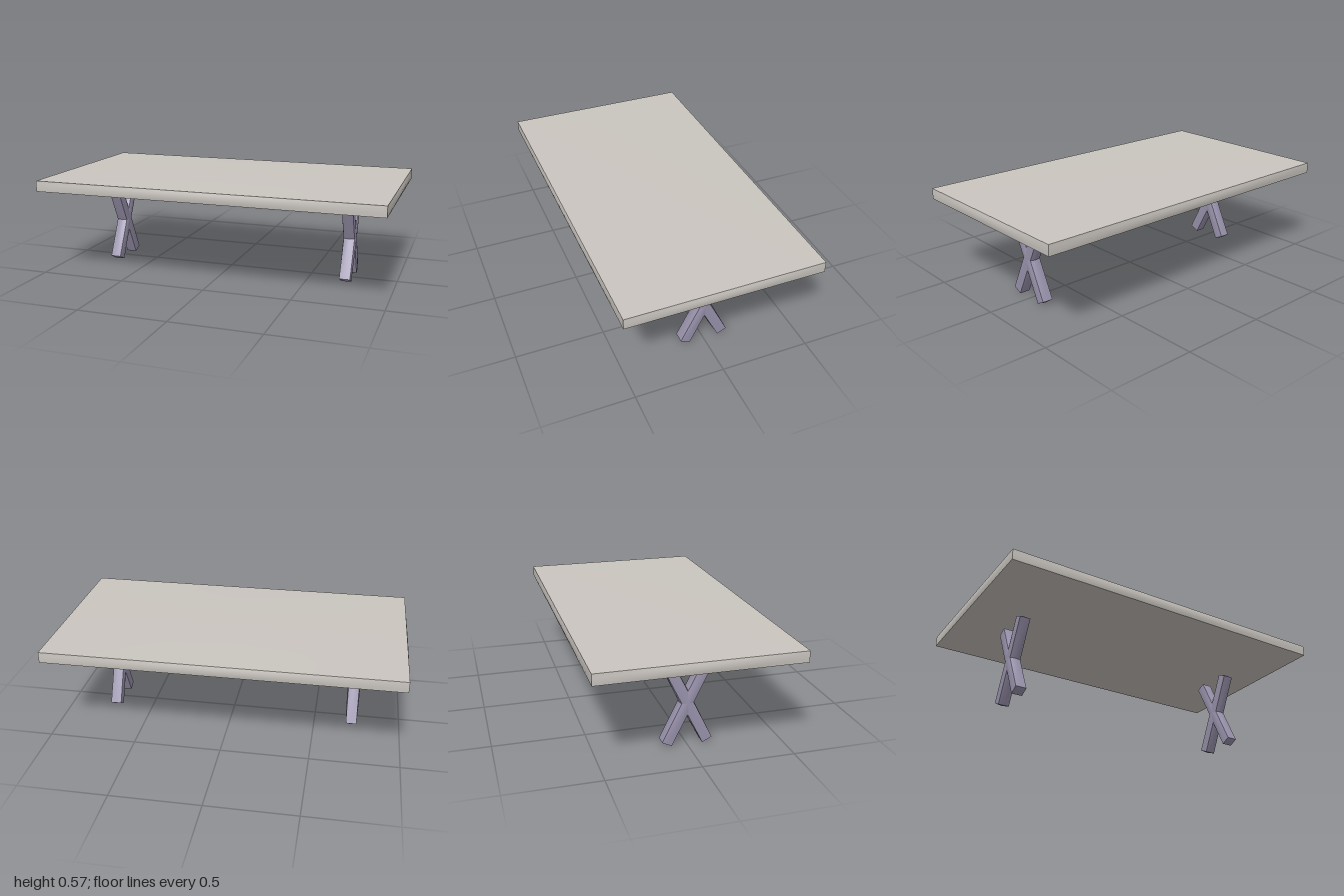
import * as THREE from 'three';

// Box whose six faces each swell gently towards their middle; edges stay sharp
function pillowBox(half, bulge, segments) {
  const geo = new THREE.BoxGeometry(2, 2, 2, ...segments);
  const pos = geo.attributes.position;
  for (let i = 0; i < pos.count; i++) {
    const p = [pos.getX(i), pos.getY(i), pos.getZ(i)];
    const q = p.map((v, a) => {
      const u = p[(a + 1) % 3], w = p[(a + 2) % 3];
      return v * (half[a] + bulge[a] * (1 - u * u) * (1 - w * w));
    });
    pos.setXYZ(i, ...q);
  }
  geo.computeVertexNormals();
  return geo;
}

export function createModel() {
  const model = new THREE.Group();
  model.name = 'trestleTable';

  const stone = new THREE.MeshStandardMaterial({ color: 0xcac5bf });
  stone.name = 'warm grey top';
  const violet = new THREE.MeshStandardMaterial({ color: 0x9b94ae });
  violet.name = 'violet grey legs';

  // Table top
  const top = new THREE.Mesh(
    pillowBox([0.994, 0.031, 0.551], [0.006, 0.0065, 0.006], [6, 4, 6]), stone);
  top.name = 'tableTop';
  top.position.y = 0.537;
  model.add(top);

  // Crossed bars forming an X trestle near each end
  const barGeo = pillowBox([0.031, 0.251, 0.029], [0.006, 0.006, 0.006], [4, 6, 4]);
  for (const side of [1, -1]) {
    const trestle = new THREE.Group();
    trestle.name = side > 0 ? 'leftTrestle' : 'rightTrestle';
    trestle.position.set(side * 0.72, 0.244, 0);
    for (const lean of [1, -1]) {
      const bar = new THREE.Mesh(barGeo, violet);
      bar.name = lean > 0 ? 'forwardBar' : 'backwardBar';
      bar.rotation.x = lean * 0.457;
      trestle.add(bar);
    }
    model.add(trestle);
  }
  return model;
}
